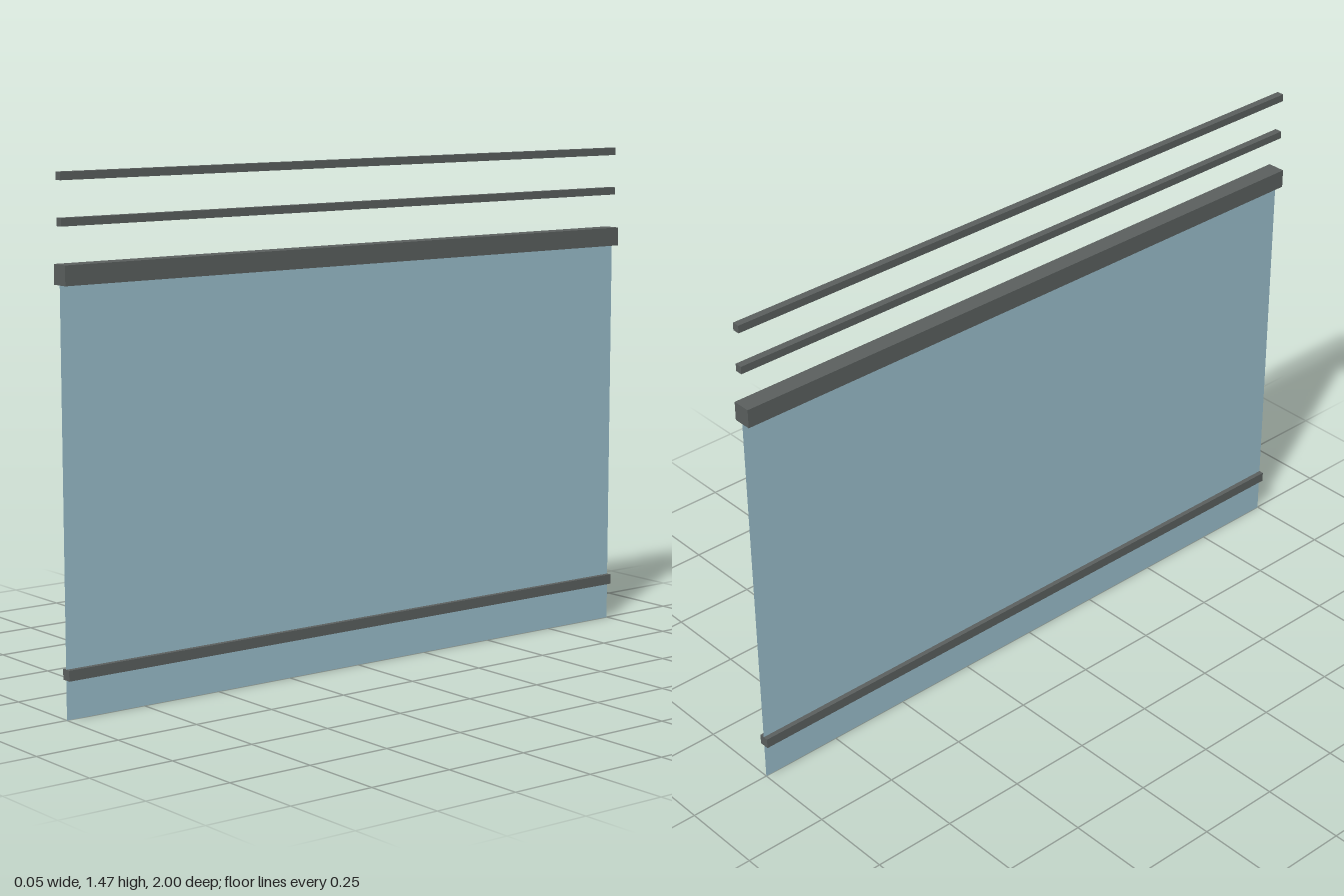
import * as THREE from 'three';

export function createModel() {
  const group = new THREE.Group();
  group.name = 'glassRailing';

  const metal = new THREE.MeshStandardMaterial({ color: 0x5a5f5e });
  metal.name = 'dark grey metal';
  const glass = new THREE.MeshStandardMaterial({ color: 0x99bdcb, side: THREE.DoubleSide });
  glass.name = 'blue glass';

  const length = 2;

  // Square bars running the full length: name, thickness, centre height
  const bars = [
    ['bottomRail', 0.03, 0.125],
    ['mainRail', 0.055, 1.203],
    ['lowerHandrail', 0.022, 1.342],
    ['upperHandrail', 0.022, 1.463],
  ];
  for (const [name, size, y] of bars) {
    const bar = new THREE.Mesh(new THREE.BoxGeometry(size, size, length), metal);
    bar.name = name;
    bar.position.y = y;
    group.add(bar);
  }

  // Single thin sheet from the floor up into the main rail
  const height = 1.203;
  const panel = new THREE.Mesh(new THREE.PlaneGeometry(length, height), glass);
  panel.name = 'glassPanel';
  panel.rotation.y = -Math.PI / 2;
  panel.position.y = height / 2;
  group.add(panel);

  return group;
}
